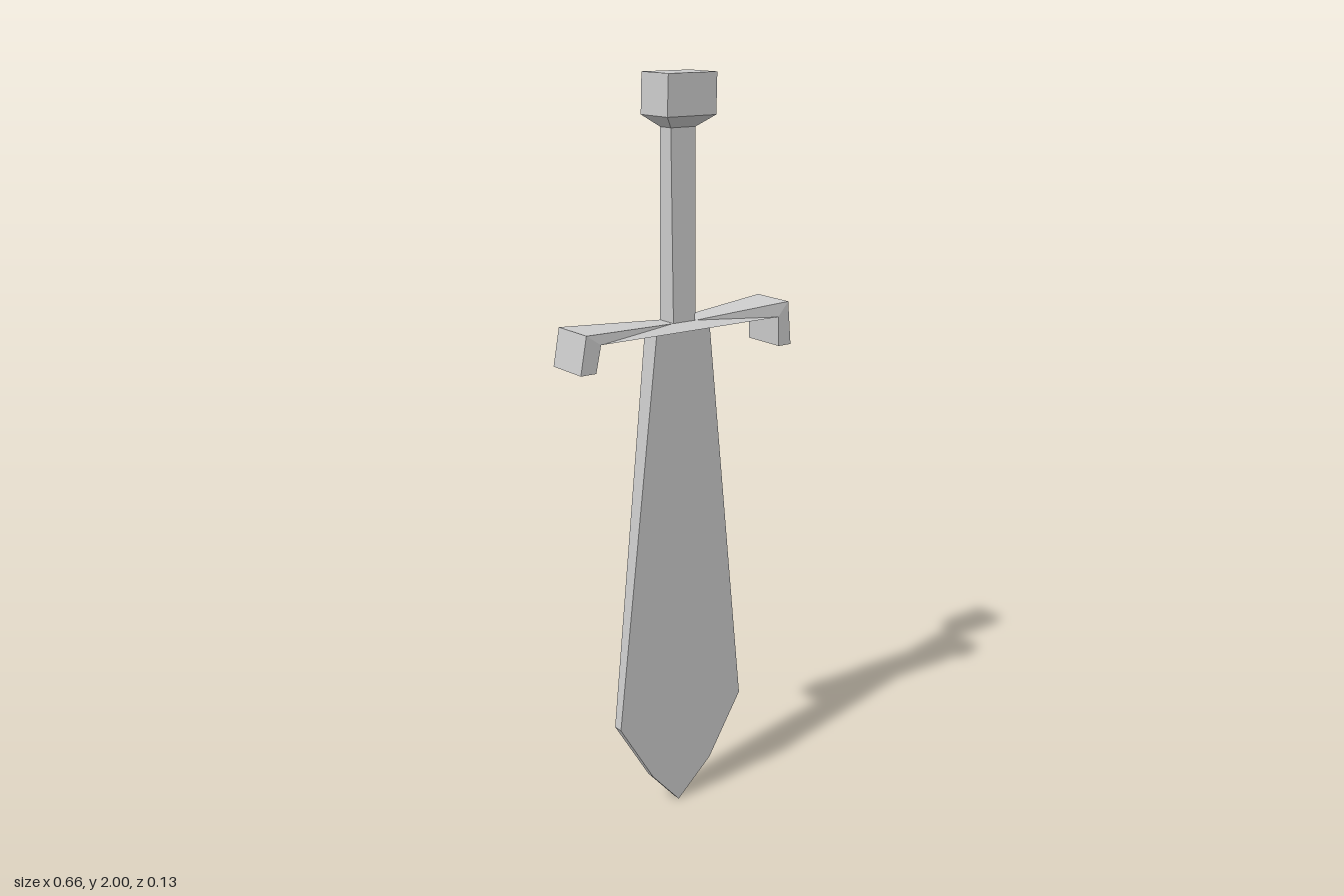
import * as THREE from 'three';

const material = new THREE.MeshStandardMaterial({ color: 0xcccccc, flatShading: true });

function part(name, geometry) {
  const flat = geometry.index ? geometry.toNonIndexed() : geometry;
  flat.computeVertexNormals();
  const mesh = new THREE.Mesh(flat, material);
  mesh.name = name;
  return mesh;
}

// Front outline extruded in z, with half thickness given by a rule of x and y
function slab(name, outline, halfDepth) {
  const shape = new THREE.Shape(outline.map(([x, y]) => new THREE.Vector2(x, y)));
  const geometry = new THREE.ExtrudeGeometry(shape, { depth: 1, bevelEnabled: false });
  const p = geometry.attributes.position;
  for (let i = 0; i < p.count; i++) {
    p.setZ(i, (p.getZ(i) > 0.5 ? 1 : -1) * halfDepth(p.getX(i), p.getY(i)));
  }
  return part(name, geometry);
}

// Square post through rectangular sections [y, xMin, xMax, zMin, zMax], bottom to top
function post(name, sections) {
  const n = sections.length - 1;
  const geometry = new THREE.BoxGeometry(1, 1, 1, 1, n, 1);
  const p = geometry.attributes.position;
  for (let i = 0; i < p.count; i++) {
    const [y, x0, x1, z0, z1] = sections[Math.round((p.getY(i) + 0.5) * n)];
    p.setXYZ(i, p.getX(i) < 0 ? x0 : x1, y, p.getZ(i) < 0 ? z0 : z1);
  }
  return part(name, geometry);
}

export function createModel() {
  const sword = new THREE.Group();
  sword.name = 'sword';

  // Leaf blade, thinning towards the tip
  sword.add(slab('blade', [
    [-0.08, 1.365], [-0.196, 0.275], [-0.088, 0.098], [0, 0],
    [0.108, 0.1], [0.211, 0.275], [0.087, 1.365],
  ], (x, y) => 0.011 + 0.0115 * y));

  // Crossguard with turned-down ends; its top edge narrows to the grip
  sword.add(slab('crossguard', [
    [-0.034, 1.381], [-0.315, 1.392], [-0.333, 1.294], [-0.288, 1.294], [-0.273, 1.364],
    [0.288, 1.364], [0.291, 1.285], [0.332, 1.285], [0.321, 1.402], [0.04, 1.381],
  ], (x, y) => (Math.abs(x) < 0.1 && y > 1.37 ? 0.03 : 0.063)));

  // Grip
  sword.add(post('grip', [
    [1.375, -0.031, 0.038, -0.03, 0.03],
    [1.87, -0.033, 0.043, -0.023, 0.022],
  ]));

  // Pommel block, tapered into the grip
  sword.add(post('pommel', [
    [1.868, -0.033, 0.043, -0.023, 0.022],
    [1.897, -0.067, 0.082, -0.058, 0.055],
    [2, -0.064, 0.084, -0.058, 0.055],
  ]));

  return sword;
}
